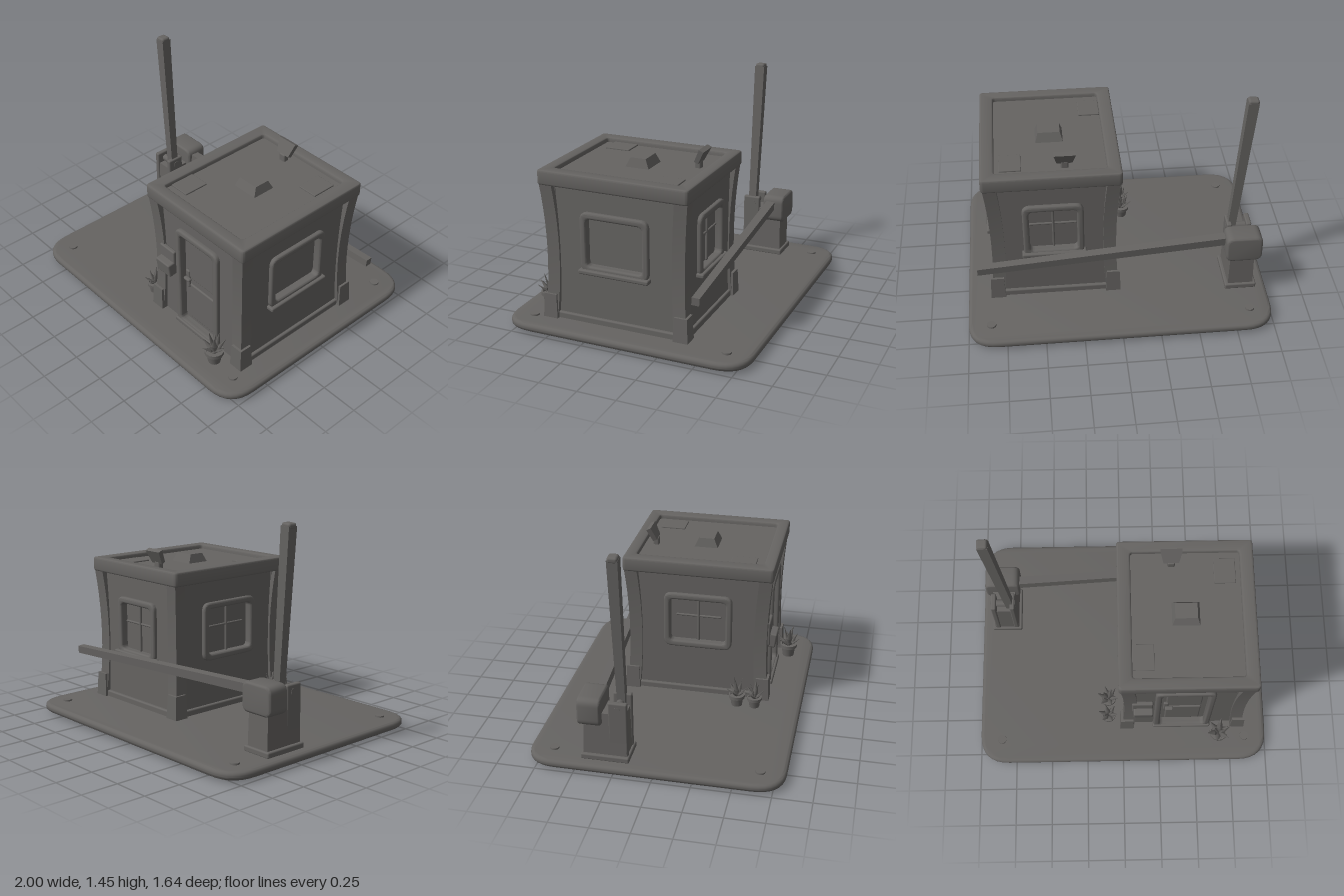
import * as THREE from 'three';
import { toCreasedNormals } from 'three/addons/utils/BufferGeometryUtils.js';
import { RoundedBoxGeometry } from 'three/addons/geometries/RoundedBoxGeometry.js';

const clay = new THREE.MeshStandardMaterial({ color: 0x656361 });
clay.name = 'warm grey';

function add(parent, name, geometry, x = 0, y = 0, z = 0) {
  const mesh = new THREE.Mesh(geometry, clay);
  mesh.name = name;
  mesh.position.set(x, y, z);
  parent.add(mesh);
  return mesh;
}
const block = (w, h, d, r = 0.01) => new RoundedBoxGeometry(w, h, d, 2, Math.min(r, w / 2.1, h / 2.1, d / 2.1));

// Rounded rectangle outline between two corners
function roundRect(x0, y0, x1, y1, r, Type = THREE.Shape) {
  const s = new Type();
  s.moveTo(x0 + r, y0);
  s.lineTo(x1 - r, y0); s.quadraticCurveTo(x1, y0, x1, y0 + r);
  s.lineTo(x1, y1 - r); s.quadraticCurveTo(x1, y1, x1 - r, y1);
  s.lineTo(x0 + r, y1); s.quadraticCurveTo(x0, y1, x0, y1 - r);
  s.lineTo(x0, y0 + r); s.quadraticCurveTo(x0, y0, x0 + r, y0);
  return s;
}
function extrude(shape, depth, bevel = 0, segments = 3) {
  const g = new THREE.ExtrudeGeometry(shape, {
    depth: depth - 2 * bevel, bevelEnabled: bevel > 0, bevelSize: bevel, bevelOffset: -bevel,
    bevelThickness: bevel, bevelSegments: segments, curveSegments: 8,
  });
  g.translate(0, 0, bevel);
  return toCreasedNormals(g, 0.7);
}
// Box whose top face is scaled, standing on y = 0
function taper(w, h, d, sx, sz) {
  const g = new THREE.BoxGeometry(w, h, d).translate(0, h / 2, 0);
  const p = g.attributes.position;
  for (let i = 0; i < p.count; i++) if (p.getY(i) > h / 2) p.setXYZ(i, p.getX(i) * sx, h, p.getZ(i) * sz);
  g.computeVertexNormals();
  return g;
}
// Square beam running between two points
function beam(parent, name, a, b, w0, w1) {
  const A = new THREE.Vector3(...a), B = new THREE.Vector3(...b);
  const g = new THREE.CylinderGeometry(w1 * 0.707, w0 * 0.707, A.distanceTo(B), 4).rotateY(Math.PI / 4);
  const m = add(parent, name, toCreasedNormals(g, 0.5));
  m.position.copy(A).add(B).multiplyScalar(0.5);
  m.quaternion.setFromUnitVectors(new THREE.Vector3(0, 1, 0), B.sub(A).normalize());
}

// Wall with an opening, a raised frame round it and a recessed panel
function wall(parent, name, width, [x0, y0, x1, y1], frameWidth, x, z, turn) {
  const g = new THREE.Group();
  g.name = name;
  g.position.set(x, 0, z);
  g.rotation.y = turn;
  parent.add(g);
  const r = 0.03, f = frameWidth, h = width / 2;
  const skin = roundRect(-h, 0.06, h, 0.98, 0.001);
  skin.holes.push(roundRect(x0, y0, x1, y1, r, THREE.Path));
  add(g, 'wallPanel', extrude(skin, 0.05), 0, 0, -0.05);
  const ring = roundRect(x0 - f, y0 - f, x1 + f, y1 + f, 0.055);
  ring.holes.push(roundRect(x0, y0, x1, y1, r, THREE.Path));
  add(g, 'openingFrame', extrude(ring, 0.04, 0.012), 0, 0, -0.012);
  add(g, 'recessedPanel', block(x1 - x0 + 0.02, y1 - y0 + 0.02, 0.02), (x0 + x1) / 2, (y0 + y1) / 2, -0.035);
  return g;
}

function potPlant(parent, x, z, size, turn) {
  const g = new THREE.Group();
  g.name = 'pottedPlant';
  g.position.set(x, 0.06, z);
  g.rotation.y = turn;
  g.scale.setScalar(size);
  parent.add(g);
  const profile = [[0, 0], [0.035, 0], [0.046, 0.07], [0.056, 0.07], [0.056, 0.092], [0.045, 0.092], [0.042, 0.08], [0, 0.08]];
  add(g, 'pot', toCreasedNormals(new THREE.LatheGeometry(profile.map(p => new THREE.Vector2(...p)), 14), 0.6));
  for (let i = 0; i < 9; i++) {
    const inner = i > 5, len = inner ? 0.14 : 0.1;
    const leaf = new THREE.CylinderGeometry(0.001, 0.013, len * 0.6, 4).translate(0, len * 0.7, 0);
    const base = new THREE.CylinderGeometry(0.013, 0.006, len * 0.4, 4).translate(0, len * 0.2, 0);
    for (const geo of [leaf, base]) {
      geo.scale(1.5, 1, 0.6);
      const m = add(g, 'leaf', geo, 0, 0.075, 0);
      m.rotation.set(inner ? 0.25 : 0.85, i * (inner ? 2.1 : 1.05), 0, 'YXZ');
    }
  }
}

export function createModel() {
  const model = new THREE.Group();
  model.name = 'checkpointBooth';

  // Base plate with rounded rim and round fixing studs
  const plate = extrude(roundRect(-1, -0.82, 1, 0.82, 0.2), 0.055, 0.025, 5).rotateX(-Math.PI / 2);
  add(model, 'basePlate', plate, 0, 0.015, 0);
  for (const x of [-0.85, 0.85]) for (const z of [-0.66, 0.66]) {
    add(model, 'fixingStud', new THREE.CylinderGeometry(0.03, 0.038, 0.08, 14), x, 0.04, z);
  }

  // Booth walls
  const booth = new THREE.Group();
  booth.name = 'booth';
  model.add(booth);
  const cx = 0.415, cz = 0.095;
  const front = wall(booth, 'frontWall', 0.8, [-0.16, 0.1, 0.15, 0.8], 0.042, cx, 0.55, 0);
  const win = [-0.19, 0.46, 0.19, 0.77];
  const sides = [
    wall(booth, 'leftWall', 0.92, win, 0.042, 0.805, cz, Math.PI / 2),
    wall(booth, 'backWall', 0.8, [-0.155, 0.45, 0.155, 0.77], 0.042, cx, -0.365, Math.PI),
    wall(booth, 'rightWall', 0.92, win, 0.042, 0.025, cz, -Math.PI / 2),
  ];
  sides.forEach((g, i) => {
    if (i < 2) add(g, 'windowSill', block(i ? 0.42 : 0.48, 0.03, 0.06), 0, 0.425, 0.02);
    if (i) {
      add(g, 'windowBar', block(0.016, 0.32, 0.02), 0, 0.61, -0.02);
      add(g, 'windowCrossBar', block(0.31, 0.014, 0.016), 0, 0.64, -0.022);
    }
    add(g, 'skirting', block(i === 1 ? 0.78 : 0.9, 0.05, 0.03), 0, 0.085, 0.005);
  });

  // Door details
  for (const [y, h] of [[0.27, 0.28], [0.61, 0.3]]) add(front, 'doorPanel', block(0.24, h, 0.02), -0.005, y, -0.024);
  add(front, 'doorHandlePlate', block(0.035, 0.14, 0.02), -0.125, 0.45, -0.015);
  add(front, 'doorHandle', block(0.055, 0.022, 0.03), -0.105, 0.47, 0.01);
  add(front, 'doorStep', block(0.4, 0.035, 0.05), -0.005, 0.08, 0.015);

  // Letter box beside the door
  const box = add(front, 'letterBox', block(0.13, 0.1, 0.06), -0.28, 0.49, 0.04);
  box.rotation.x = 0.12;
  add(front, 'letterBoxBack', block(0.14, 0.17, 0.03), -0.285, 0.54, 0.015);

  // Flared corner posts with plinths
  for (const sx of [-1, 1]) for (const sz of [-1, 1]) {
    const g = new THREE.BoxGeometry(0.085, 0.92, 0.085, 1, 10, 1).translate(0, 0.52, 0);
    const p = g.attributes.position;
    for (let i = 0; i < p.count; i++) {
      const t = (p.getY(i) - 0.48) / 0.44, flare = 0.022 * t * t;
      p.setX(i, p.getX(i) + sx * flare);
      p.setZ(i, p.getZ(i) + sz * flare);
    }
    g.computeVertexNormals();
    add(booth, 'cornerPost', g, cx + sx * 0.363, 0, cz + sz * 0.427);
    add(booth, 'cornerPlinth', taper(0.1, 0.17, 0.1, 0.85, 0.85), cx + sx * 0.385, 0.06, cz + sz * 0.45);
  }

  // Roof slab, raised rim, patches and hatch
  add(booth, 'roofSlab', block(0.84, 0.06, 0.96), cx, 0.995, cz);
  const rim = roundRect(-0.445, -0.505, 0.445, 0.505, 0.025);
  rim.holes.push(roundRect(-0.355, -0.425, 0.355, 0.425, 0.02, THREE.Path));
  add(booth, 'roofRim', extrude(rim, 0.095, 0.012).rotateX(-Math.PI / 2), cx, 0.96, cz);
  for (const [x, z] of [[0.13, 0.38], [0.67, -0.2]]) add(booth, 'roofPatch', block(0.14, 0.012, 0.17, 0.004), x, 1.028, z);
  add(booth, 'roofHatch', taper(0.18, 0.06, 0.16, 0.8, 0.65), 0.41, 1.024, 0.09);

  // Tilted floodlight on the roof
  const lamp = add(booth, 'floodlight', taper(0.1, 0.095, 0.03, 1.4, 1.1), 0.325, 1.065, -0.255);
  lamp.rotation.x = -0.45;
  add(booth, 'floodlightFoot', block(0.05, 0.06, 0.04), 0.325, 1.045, -0.255);

  // Barrier post and its two arms
  const barrier = new THREE.Group();
  barrier.name = 'barrier';
  model.add(barrier);
  add(barrier, 'barrierFoot', block(0.21, 0.04, 0.31), -0.825, 0.085, -0.31);
  add(barrier, 'barrierPost', taper(0.17, 0.32, 0.28, 0.92, 0.95), -0.825, 0.08, -0.31);
  for (const x of [-0.89, -0.76]) add(barrier, 'barrierCheek', block(0.035, 0.4, 0.12), x, 0.28, -0.225);
  const head = roundRect(-0.12, 0.32, 0.12, 0.51, 0.05);
  add(barrier, 'barrierHead', extrude(head, 0.15, 0.015), -0.83, 0, -0.475);
  add(barrier, 'pivotPin', new THREE.CylinderGeometry(0.025, 0.025, 0.17, 12).rotateZ(Math.PI / 2), -0.825, 0.43, -0.23);
  beam(barrier, 'raisedArm', [-0.778, 0.4, -0.225], [-0.852, 1.425, -0.235], 0.052, 0.068);
  const cap = add(barrier, 'raisedArmCap', block(0.07, 0.04, 0.065, 0.015), -0.853, 1.425, -0.235);
  cap.rotation.z = 0.07;
  beam(barrier, 'loweredArm', [-0.78, 0.445, -0.375], [0.92, 0.4, -0.485], 0.06, 0.05);

  // Potted plants
  potPlant(model, -0.1, 0.39, 0.98, 0.3);
  potPlant(model, -0.1, 0.51, 0.9, 1.4);
  potPlant(model, 0.665, 0.65, 1.1, 0.8);
  return model;
}
